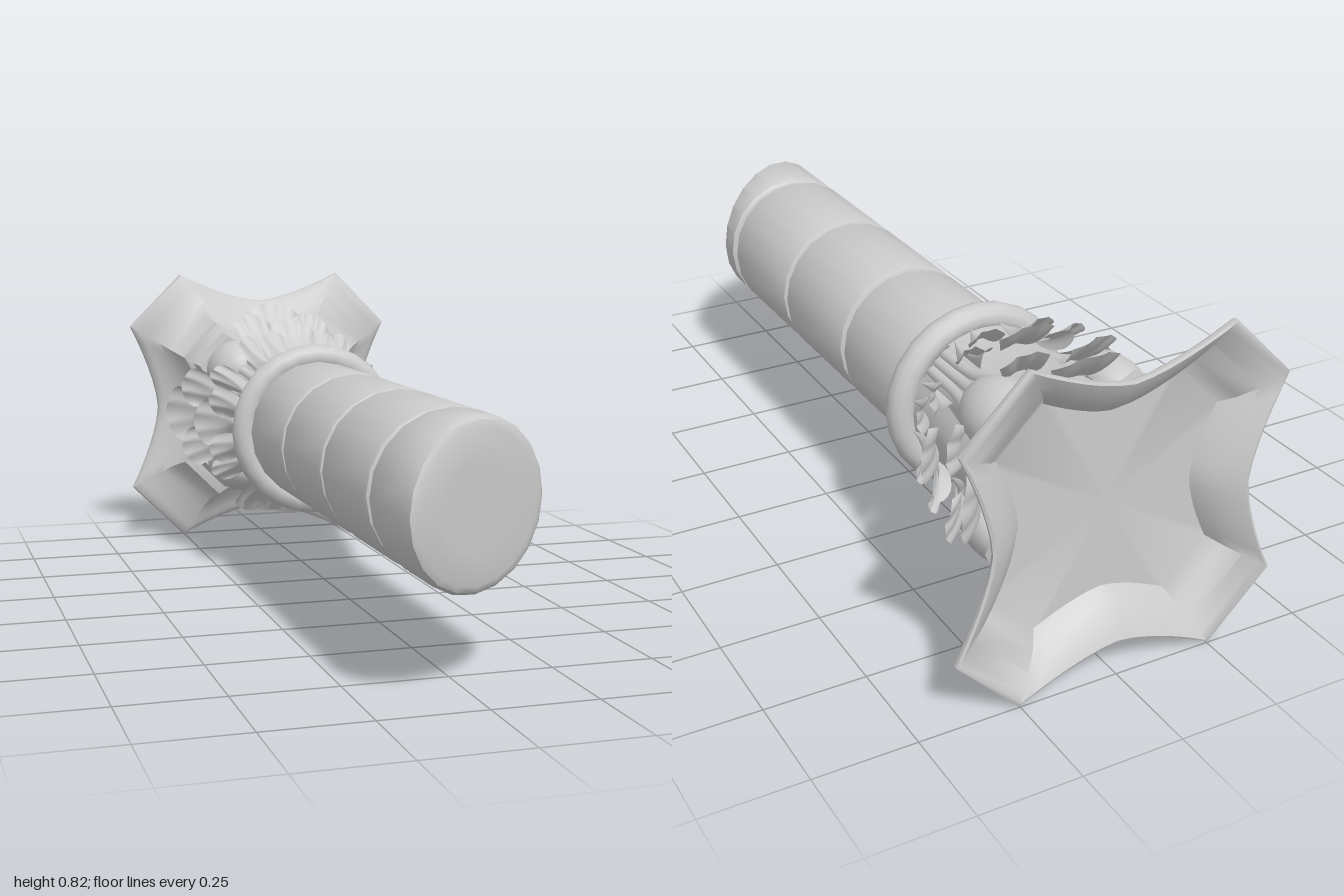
import * as THREE from 'three';
import { toCreasedNormals } from 'three/addons/utils/BufferGeometryUtils.js';

const material = new THREE.MeshStandardMaterial({ color: 0xcccccc });
const leafMaterial = new THREE.MeshStandardMaterial({ color: 0xcccccc, side: THREE.DoubleSide });

function add(parent, name, geometry, mat = material) {
  const mesh = new THREE.Mesh(geometry, mat);
  mesh.name = name;
  parent.add(mesh);
  return mesh;
}

function lathe(points, segments = 20) {
  return new THREE.LatheGeometry(points.map(p => new THREE.Vector2(...p)), segments);
}

// Builds an indexed grid surface from a function (i, j) -> [x, y, z]
function grid(cols, rows, fn, crease) {
  const pos = [], index = [];
  for (let j = 0; j <= rows; j++) for (let i = 0; i <= cols; i++) pos.push(...fn(i, j));
  for (let j = 0; j < rows; j++) for (let i = 0; i < cols; i++) {
    const a = j * (cols + 1) + i, b = a + 1, c = a + cols + 1, d = c + 1;
    index.push(a, c, b, b, c, d);
  }
  const g = new THREE.BufferGeometry();
  g.setAttribute('position', new THREE.Float32BufferAttribute(pos, 3));
  g.setIndex(index);
  g.computeVertexNormals();
  return crease ? toCreasedNormals(g, crease) : g;
}

// Lofts a four-armed outline with concave sides and clipped corners.
// Each section is [height, reach of the corners, reach of the side middles].
function starLoft(sections) {
  const n = 12, per = n + 1;
  return grid(4 * per, sections.length - 1, (i, j) => {
    const [h, c, m] = sections[j];
    const side = Math.floor(i / per) % 4, s = (i % per) / n * 2 - 1;
    const x = m + (c - m) * Math.pow(Math.abs(s), 1.5), z = s * 0.615 * c;
    const a = side * Math.PI / 2, ca = Math.round(Math.cos(a)), sa = Math.round(Math.sin(a));
    return [x * ca - z * sa, h, x * sa + z * ca];
  }, 0.75);
}

// Rounded, softly lobed fan that grows upward and curls outward (+z)
function fan(length, spread, curl, lobes = 3) {
  return grid(18, 10, (i, j) => {
    const u = i / 9 - 1, t = j / 10, a = u * spread;
    const edge = 0.06 * Math.abs(Math.cos(lobes * Math.PI * u / 2)) - 0.1 * Math.pow(u, 4);
    const r = length * t * (1 + (edge - 0.06) * t);
    return [r * Math.sin(a), r * Math.cos(a), curl * Math.pow(t, 2.4) - 0.04 * u * u * t];
  });
}

export function createModel() {
  const root = new THREE.Group();
  root.name = 'fallenColumn';
  // The column is built upright, then laid down with its capital to the back
  const column = new THREE.Group();
  column.name = 'column';
  column.rotation.x = -Math.PI / 2;
  column.position.y = 0.412;
  root.add(column);

  // Shaft drums with softened rims around a narrower core
  const R = 0.193;
  const shaft = new THREE.Group();
  shaft.name = 'shaft';
  shaft.position.x = 0.005;
  column.add(shaft);
  add(shaft, 'shaftCore', lathe([[0, -0.76], [0.155, -0.76], [0.155, 0.34], [0, 0.34]]));
  for (const [a, b] of [[-0.723, -0.37], [-0.36, -0.008], [0.003, 0.34]]) {
    add(shaft, 'shaftDrum', toCreasedNormals(lathe([
      [0.15, a], [R - 0.017, a], [R - 0.005, a + 0.006], [R, a + 0.02],
      [R, b - 0.02], [R - 0.005, b - 0.006], [R - 0.017, b], [0.15, b],
    ]), 0.7));
  }

  // Broken end: a drum whose length shrinks across its width
  const broken = lathe([
    [0, -1], [0.1, -1], [0.17, -0.995], [0.185, -0.96], [R, -0.87],
    [R, -0.08], [R - 0.005, -0.03], [R - 0.017, 0], [0, 0],
  ]);
  const p = broken.attributes.position;
  for (let i = 0; i < p.count; i++) {
    p.setY(i, -0.734 + p.getY(i) * (0.175 - 0.545 * p.getX(i)));
  }
  add(shaft, 'brokenEnd', toCreasedNormals(broken, 0.7));

  // Collar ring
  const collar = add(shaft, 'collar', new THREE.TorusGeometry(0.204, 0.036, 12, 24));
  collar.rotation.x = Math.PI / 2;
  collar.position.y = 0.355;

  // Bell of the capital
  add(column, 'bell', starLoft([
    [0.34, 0.15, 0.17], [0.42, 0.15, 0.17], [0.52, 0.16, 0.165], [0.59, 0.18, 0.165],
    [0.65, 0.195, 0.165], [0.70, 0.2, 0.17], [0.75, 0.2, 0.175], [0.82, 0.2, 0.18],
  ]));

  // Stepped, flaring abacus, hollow at the back
  add(column, 'abacus', starLoft([
    [0.80, 0.001, 0.001], [0.80, 0.23, 0.175], [0.86, 0.24, 0.18], [0.865, 0.265, 0.2],
    [0.885, 0.266, 0.203], [0.9, 0.272, 0.215], [0.925, 0.291, 0.235], [0.95, 0.323, 0.262],
    [0.967, 0.362, 0.29], [0.973, 0.385, 0.305], [0.982, 0.407, 0.322], [0.99, 0.411, 0.327],
    [0.997, 0.411, 0.327], [1, 0.403, 0.32], [0.992, 0.385, 0.303], [0.975, 0.35, 0.275],
    [0.95, 0.31, 0.244], [0.92, 0.28, 0.222], [0.92, 0.001, 0.001],
  ]));

  // Leaflets: [name, side offset, base height, base reach, length, spread, curl, tilt]
  const leaflets = [
    ['upperLeaf', 0, 0.715, 0.225, 0.15, 0.72, 0.1, 0],
    ['upperSideLeaf', 0.055, 0.6, 0.205, 0.15, 0.48, 0.1, 0.2],
    ['lowerLeaf', 0, 0.475, 0.2, 0.14, 0.62, 0.09, 0],
    ['lowerSideLeaf', 0.04, 0.39, 0.195, 0.15, 0.36, 0.07, 0.18],
    ['lowerOuterLeaf', 0.09, 0.4, 0.18, 0.18, 0.24, 0.08, 0.2],
  ];
  for (let k = 0; k < 4; k++) {
    const face = new THREE.Group();
    face.name = 'leafCluster';
    face.rotation.y = k * Math.PI / 2;
    column.add(face);

    // Curved stalk behind the leaflets
    add(face, 'leafStalk', grid(6, 10, (i, j) => {
      const u = i / 3 - 1, t = j / 10;
      return [u * (0.1 - 0.05 * t), 0.38 + 0.4 * t, 0.19 + 0.05 * t * t - 0.025 * u * u];
    }), leafMaterial);

    for (const [name, x, h, r, length, spread, curl, tilt] of leaflets) {
      for (const s of x ? [-1, 1] : [1]) {
        const leaf = add(face, name, fan(length, spread, curl), leafMaterial);
        leaf.position.set(s * x, h, r);
        leaf.rotation.set(0, s * x * 3, -s * tilt);
      }
    }

    // Swelling scroll, ribbed stem and slim blades on each diagonal
    const corner = new THREE.Group();
    corner.name = 'cornerScroll';
    corner.rotation.y = (k + 0.5) * Math.PI / 2;
    column.add(corner);
    const bulb = add(corner, 'scrollBulb', new THREE.SphereGeometry(1, 20, 14));
    bulb.scale.set(0.085, 0.115, 0.07);
    bulb.position.set(0, 0.71, 0.21);
    for (const s of [-1, 0, 1]) {
      const path = new THREE.CatmullRomCurve3([
        new THREE.Vector3(s * 0.025, 0.38, 0.165), new THREE.Vector3(s * 0.028, 0.5, 0.17),
        new THREE.Vector3(s * 0.035, 0.58, 0.19), new THREE.Vector3(s * 0.045, 0.66, 0.235),
      ]);
      add(corner, 'stemRib', new THREE.TubeGeometry(path, 10, 0.017, 8));
    }
    for (const s of [-1, 1]) {
      const blade = add(corner, 'cornerBlade', fan(0.17, 0.2, 0.06, 1), leafMaterial);
      blade.position.set(s * 0.05, 0.42, 0.19);
      blade.rotation.z = -s * 0.2;
    }
  }
  return root;
}
